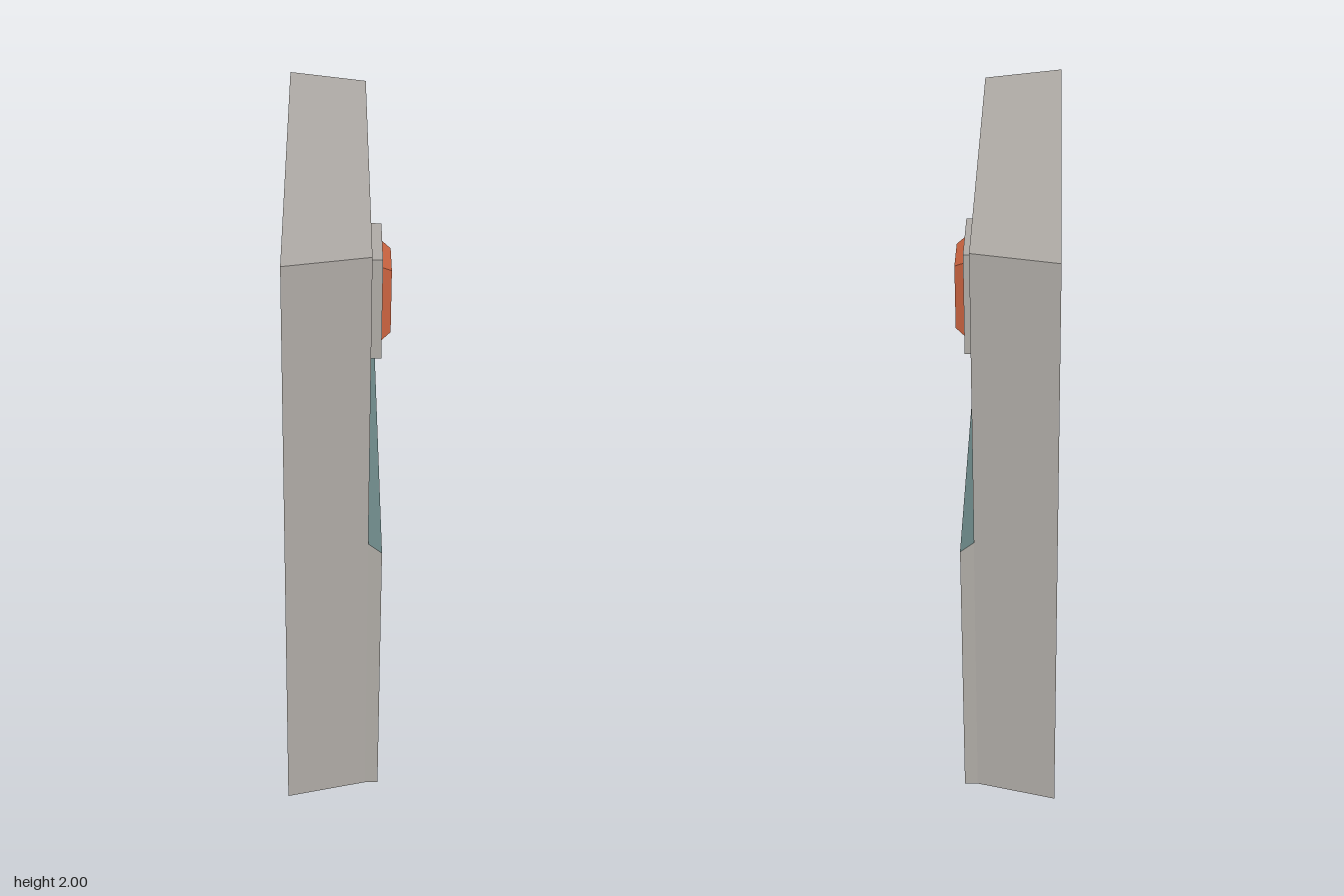
import * as THREE from 'three';

const HALF = 0.655;    // half width of the wall face
const STEP = 0.0988;   // spacing of the painted pattern
const LEDGE = 0.043;   // how far the lower panel stands out

const mat = (name, color) => new THREE.MeshStandardMaterial({ name, color });

export function createModel() {
  const stone = mat('stone grey', 0xaeaaa5);
  const teal = mat('teal paint', 0x6c8787);
  const navy = mat('navy paint', 0x385062);
  const orange = mat('orange frame', 0xcc6440);
  const amber = mat('amber glass', 0xda9a58);

  // Local frame: x runs along the wall, +z points out of its decorated face
  const wall = new THREE.Group();
  wall.name = 'wall';
  const add = (name, geometry, material, x = 0, y = 0, z = 0) => {
    const mesh = new THREE.Mesh(geometry, material);
    mesh.name = name;
    mesh.position.set(x, y, z);
    wall.add(mesh);
    return mesh;
  };
  const shape = (pts) => new THREE.Shape(pts.map(([x, y]) => new THREE.Vector2(x, y)));

  // Slab with splayed ends, its top falling slightly towards the face
  const slab = new THREE.ExtrudeGeometry(
    shape([[-HALF, 0], [HALF, 0], [0.722, 0.258], [-0.722, 0.258]]),
    { depth: 2, bevelEnabled: false });
  slab.rotateX(-Math.PI / 2);
  const sp = slab.attributes.position;
  for (let i = 0; i < sp.count; i++) {
    if (sp.getY(i) > 1.9 && sp.getZ(i) > -0.01) sp.setY(i, 1.995);
  }
  slab.computeVertexNormals();
  add('slab', slab, stone);

  // Lower panel: side profile with a sloped top, bare stone at the ends
  const panel = new THREE.ExtrudeGeometry(
    shape([[0, 0.003], [LEDGE, 0.003], [LEDGE, 0.965], [0, 1]]),
    { depth: 2 * HALF, bevelEnabled: false });
  panel.translate(0, 0, -HALF);
  panel.rotateY(-Math.PI / 2);
  add('lowerPanel', panel, [stone, teal]);
  add('panelFoot', new THREE.BoxGeometry(2 * HALF, 0.003, LEDGE), stone, 0, 0.0015, LEDGE / 2);

  // Wavy upper edge of the teal paint
  const wave = [[-HALF, 0.99], [HALF, 0.99]];
  const n = 13 * 8;
  for (let i = n; i >= 0; i--) {
    const x = -HALF + (2 * HALF * i) / n;
    wave.push([x, 1.05 + 0.016 * Math.cos((2 * Math.PI * (x - 0.028)) / STEP)]);
  }
  add('wavyPaintEdge', new THREE.ShapeGeometry(shape(wave)), teal, 0, 0, 0.002);

  // Navy base band with rounded notches and a dot above each
  const notch = [[0.018, 0.25], [0.027, 0.237], [0.026, 0.216], [0.012, 0.2]];
  const band = [[-HALF, 0], [HALF, 0], [HALF, 0.249]];
  for (let i = 6; i >= -6; i--) {
    const c = i * STEP;
    notch.forEach(([x, y]) => band.push([c + x, y]));
    [...notch].reverse().forEach(([x, y]) => band.push([c - x, y]));
    const dot = new THREE.CircleGeometry(0.024, 8, Math.PI / 8);
    add('baseDot', dot, navy, c, 0.27, LEDGE + 0.002);
  }
  band.push([-HALF, 0.249]);
  add('baseBand', new THREE.ShapeGeometry(shape(band)), navy, 0, 0, LEDGE + 0.002);

  // Window: stone box with a navy front and a tapered, lit pane
  add('windowBox', new THREE.BoxGeometry(0.26, 0.356, 0.046),
    [stone, stone, stone, stone, navy, stone], -0.007, 1.541, 0.023);
  const pane = new THREE.BoxGeometry(0.192, 0.263, 0.03);
  const pp = pane.attributes.position;
  for (let i = 0; i < pp.count; i++) {
    if (pp.getZ(i) > 0) pp.setXY(i, pp.getX(i) * 0.81, pp.getY(i) * 0.85);
  }
  pane.computeVertexNormals();
  add('windowPane', pane, [orange, orange, orange, orange, amber, orange], -0.005, 1.542, 0.061);

  // Turn the wall to its standing angle
  wall.rotation.y = 1.9216;
  wall.position.set(0.11, 0, -0.07);

  const model = new THREE.Group();
  model.name = 'wallSegment';
  model.add(wall);
  return model;
}
